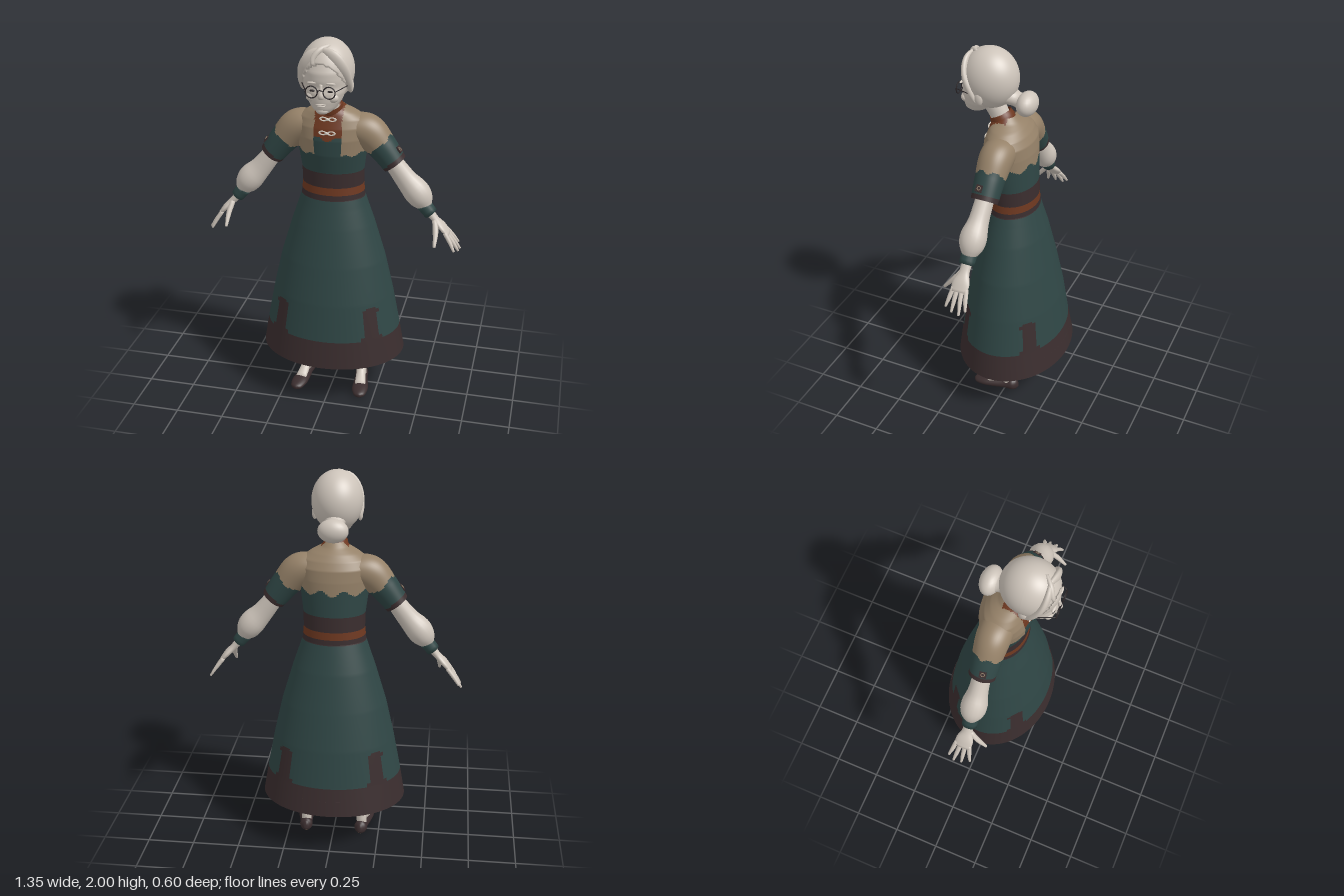
import * as THREE from 'three';

const paint = (name, color, side = THREE.FrontSide) => {
  const m = new THREE.MeshStandardMaterial({ color, side });
  m.name = name;
  return m;
};

export function createModel() {
  const root = new THREE.Group();
  const pale = paint('pale skin, hair and linen', 0xcdc4ba);
  const teal = paint('dark teal cloth', 0x2f4645, THREE.DoubleSide);
  const dark = paint('dark brown trim', 0x3a2d2e, THREE.DoubleSide);
  const rust = paint('rust leather', 0x6e3820, THREE.DoubleSide);
  const tan = paint('tan cloth', 0x958168);
  const ink = paint('glasses and eyes', 0x2a2527);
  const ivory = paint('ivory clasp', 0xded6ca);
  const V = (x, y, z) => new THREE.Vector3(x, y, z);

  const add = (name, geo, mat, x = 0, y = 0, z = 0, parent = root) => {
    const m = new THREE.Mesh(geo, mat);
    m.name = name;
    m.position.set(x, y, z);
    parent.add(m);
    return m;
  };
  const ball = (name, mat, [x, y, z], [sx, sy, sz]) =>
    add(name, new THREE.SphereGeometry(1, 24, 16).scale(sx, sy, sz), mat, x, y, z);

  // Skin rings of points; pick(point) chooses the material of each face
  function skin(name, rows, mats, pick = () => 0) {
    const n = rows[0].length, flat = rows.flat();
    const lists = mats.map(() => []);
    for (let r = 0; r < rows.length - 1; r++) {
      for (let i = 0; i < n; i++) {
        const a = r * n + i, d = r * n + (i + 1) % n, b = a + n, c = d + n;
        const mid = V(0, 0, 0);
        [a, b, c, d].forEach(k => mid.addScaledVector(flat[k], 0.25));
        lists[pick(mid)].push(a, b, c, a, c, d);
      }
    }
    const g = new THREE.BufferGeometry().setFromPoints(flat);
    g.setIndex(lists.flat());
    let start = 0;
    lists.forEach((l, k) => { g.addGroup(start, l.length, k); start += l.length; });
    g.computeVertexNormals();
    return add(name, g, mats);
  }

  // Upright shell from keys [y, half width, front z, back z]
  function shell(name, keys, step, mats, pick, n = 96) {
    const rows = [], y0 = keys[0][0], y1 = keys[keys.length - 1][0];
    const count = Math.round((y1 - y0) / step);
    for (let r = 0; r <= count; r++) {
      const y = y0 + (y1 - y0) * r / count;
      let k = 0;
      while (k < keys.length - 2 && keys[k + 1][0] < y) k++;
      const t = (y - keys[k][0]) / (keys[k + 1][0] - keys[k][0]);
      const [, w, f, b] = keys[k].map((v, j) => v + (keys[k + 1][j] - v) * t);
      rows.push(Array.from({ length: n }, (_, i) => {
        const a = i / n * Math.PI * 2;
        return V(Math.cos(a) * w, y, (f + b) / 2 + Math.sin(a) * (f - b) / 2);
      }));
    }
    return skin(name, rows, mats, pick);
  }

  // Tapered limb from keys [x, y, z, radius along ref, radius across]
  function limb(name, keys, mats, { ref = V(0, 0, 1), n = 16, sub = 4, pick, cap = true } = {}) {
    const path = new THREE.CatmullRomCurve3(keys.map(k => V(k[0], k[1], k[2])), false, 'catmullrom');
    const size = new THREE.CatmullRomCurve3(keys.map(k => V(k[3], k[4], 0)), false, 'catmullrom');
    const count = (keys.length - 1) * sub, rows = [];
    for (let r = 0; r <= count; r++) {
      const p = path.getPoint(r / count), t = path.getTangent(r / count), s = size.getPoint(r / count);
      const a = ref.clone().addScaledVector(t, -ref.dot(t)).normalize(), b = a.clone().cross(t);
      rows.push(Array.from({ length: n }, (_, i) => {
        const q = i / n * Math.PI * 2;
        return p.clone().addScaledVector(a, Math.cos(q) * s.x).addScaledVector(b, Math.sin(q) * s.y);
      }));
    }
    if (cap) {
      rows.unshift(rows[0].map(() => path.getPoint(0)));
      rows.push(rows[0].map(() => path.getPoint(1)));
    }
    return skin(name, rows, Array.isArray(mats) ? mats : [mats], pick);
  }
  const flip = (keys, s) => keys.map(([x, ...rest]) => [x * s, ...rest]);

  // Skirt with dark hem and four upright tabs
  shell('skirt', [[.25, .386, .3, -.3], [.4, .36, .28, -.272], [.6, .322, .254, -.243],
    [.8, .277, .217, -.202], [1, .217, .175, -.158], [1.1, .183, .152, -.13], [1.16, .164, .139, -.113]],
  .01, [teal, dark], p => {
    const d = Math.abs(Math.abs(p.x) - .24 + (p.y - .5) * .08);
    return p.y < .4 || p.y > 1.15 || (d < .033 && p.y < .585 - (d > .024 ? .012 : 0)) || (d < .045 && p.y < .42) ? 1 : 0;
  });
  add('skirtLining', new THREE.CircleGeometry(1, 48).rotateX(Math.PI / 2).scale(.368, 1, .286), dark, 0, .33, 0);

  // Bodice: waistband, belt, yoke and neck panel
  shell('bodice', [[1.15, .166, .141, -.115], [1.22, .159, .135, -.11], [1.3, .161, .137, -.106],
    [1.4, .174, .158, -.103], [1.48, .186, .162, -.1], [1.54, .19, .152, -.092], [1.58, .17, .138, -.07],
    [1.61, .125, .13, -.045], [1.635, .075, .122, -.015], [1.66, .05, .1, .01]],
  .005, [teal, dark, rust, tan], ({ x, y, z }) => {
    const w = Math.abs(x);
    if (y < 1.3) return y > 1.18 && y < 1.218 ? 2 : 1;
    if (z > .03 && w < .07) return y > (w < .035 ? 1.475 + w * .6 : 1.5) ? 2 : 0;
    const edge = z > .03 ? 1.405 + .008 * Math.sin(w * 90) : 1.425 - .014 * Math.cos(x * 55);
    return y > edge ? 3 : 0;
  });
  limb('collar', [[0, 1.615, .068, .062, .066], [0, 1.638, .078, .062, .064], [0, 1.662, .09, .056, .058]],
    rust, { n: 32, cap: false });
  limb('neck', [[0, 1.6, .07, .05, .05], [0, 1.66, .095, .05, .048], [0, 1.74, .14, .055, .055]], pale);
  for (const [y, z] of [[1.59, .141], [1.525, .162]]) {
    for (const s of [1, -1]) {
      const loop = add('claspLoop', new THREE.TorusGeometry(.009, .003, 6, 16).scale(1.9, 1, 1), ivory, s * .022, y, z - .002);
      loop.rotation.y = s * .12;
    }
    ball('claspKnot', ivory, [0, y, z + .001], [.007, .007, .005]);
  }

  for (const s of [1, -1]) {
    // Short sleeve with trimmed edge
    limb('shortSleeve', flip([[.1, 1.53, .03, .085, .07], [.18, 1.505, .03, .085, .088],
      [.25, 1.435, .03, .076, .076], [.32, 1.345, .03, .068, .064]], s), [teal, dark, tan], {
      n: 48, sub: 14, cap: false, pick: p => {
        const d = Math.abs(p.x) * .65 - p.y * .76;
        return d > -.836 ? 1 : d < -.945 + .007 * Math.sin(p.z * 90) ? 2 : 0;
      } });
    const badge = add('sleeveBadge', new THREE.BoxGeometry(.035, .035, .008), dark, s * .343, 1.428, .045);
    badge.lookAt(s * 1.093, 2.078, .15);
    add('badgeRing', new THREE.TorusGeometry(.009, .002, 6, 12), tan, 0, 0, .004, badge);

    // Puffed undersleeve, cuff and hand
    limb('undersleeve', flip([[.29, 1.38, .03, .045, .045], [.375, 1.27, .033, .05, .055],
      [.43, 1.21, .035, .066, .067], [.463, 1.165, .035, .06, .06], [.488, 1.125, .037, .033, .033]], s), pale, { n: 20 });
    limb('wristCuff', flip([[.472, 1.142, .037, .041, .039], [.513, 1.092, .038, .039, .035]], s), teal);
    limb('palm', flip([[.505, 1.1, .037, .026, .022], [.54, 1.06, .038, .028, .018],
      [.575, 1.025, .038, .045, .017], [.607, .988, .037, .043, .011]], s), pale);
    [[.002, .655, .92, -.02], [.026, .668, .897, .01], [.049, .663, .902, .052], [.07, .645, .912, .092]].forEach(([z, x, y, tz]) =>
      limb('finger', flip([[.592, 1.003, z, .012, .011], [(.6 + x) / 2, (.99 + y) / 2 + .004, (z + tz) / 2, .011, .01],
        [x, y, tz, .006, .006]], s), pale, { n: 10 }));
    limb('thumb', flip([[.537, 1.06, .055, .014, .013], [.548, 1.01, .095, .014, .012],
      [.55, .952, .143, .007, .007]], s), pale, { n: 10, ref: V(1, 0, 0) });

    // Leg, stocking and shoe
    limb('leg', flip([[.148, .36, -.008, .036, .036], [.148, .25, -.008, .034, .034], [.152, .13, -.012, .026, .025],
      [.154, .08, -.01, .03, .027], [.156, .04, -.01, .03, .027]], s), [pale, tan],
    { sub: 10, pick: p => p.y > .275 ? 1 : 0 });
    limb('instep', flip([[.154, .1, -.01, .024, .022], [.16, .065, .035, .026, .022], [.168, .04, .095, .03, .014]], s),
      pale, { ref: V(1, 0, 0) });
    const shoe = limb('shoe', flip([[.15, .042, -.07, .012, .02], [.152, .035, -.045, .034, .036], [.157, .03, 0, .034, .028],
      [.166, .026, .07, .041, .026], [.172, .024, .12, .043, .023], [.178, .02, .165, .03, .017], [.18, .018, .18, .008, .008]], s),
    [dark, tan], { ref: V(1, 0, 0), n: 24, pick: p => p.y < .008 ? 1 : 0 });
    const pos = shoe.geometry.attributes.position;
    for (let i = 0; i < pos.count; i++) pos.setY(i, Math.max(0, pos.getY(i)));

    // Face details that come in pairs
    ball('ear', pale, [s * .117, 1.775, .15], [.014, .035, .022]);
    ball('eye', ink, [s * .043, 1.776, .272], [.015, .005, .005]);
    ball('brow', pale, [s * .043, 1.815, .272], [.026, .006, .008]);
    ball('cheek', pale, [s * .05, 1.74, .252], [.03, .024, .022]);
    add('glassesRim', new THREE.TorusGeometry(.029, .003, 6, 28), ink, s * .043, 1.776, .292);
    limb('glassesArm', flip([[.072, 1.783, .291, .0025, .0025], [.112, 1.79, .2, .0025, .0025],
      [.12, 1.79, .15, .0025, .0025]], s), ink, { ref: V(0, 1, 0), n: 6 });

    // Hair swept from the parting to the temples
    limb('sweptLock', flip([[-.008, 1.968, .228, .01, .012], [.05, 1.938, .24, .016, .03], [.092, 1.88, .23, .018, .03],
      [.112, 1.81, .195, .018, .022], [.117, 1.755, .165, .008, .01]], s), pale);
  }

  // Face and nose
  shell('face', [[1.655, .022, .25, .2], [1.665, .042, .265, .17], [1.685, .062, .275, .14], [1.72, .086, .281, .11],
    [1.76, .1, .283, .1], [1.79, .105, .275, .09], [1.82, .108, .281, .08], [1.86, .108, .281, .08], [1.91, .1, .262, .08]],
  .008, [pale], () => 0, 40);
  ball('chin', pale, [0, 1.674, .25], [.032, .02, .024]);
  limb('nose', [[0, 1.81, .276, .008, .008], [0, 1.78, .283, .009, .01], [0, 1.755, .287, .013, .015],
    [0, 1.743, .28, .01, .014]], pale);
  ball('upperLip', pale, [0, 1.712, .28], [.026, .004, .006]);
  ball('lowerLip', pale, [0, 1.703, .279], [.02, .005, .006]);
  limb('glassesBridge', [[-.015, 1.782, .294, .0025, .0025], [0, 1.787, .296, .0025, .0025],
    [.015, 1.782, .294, .0025, .0025]], ink, { n: 6 });

  // Hair cap drawn back below the hairline
  const cap = new THREE.SphereGeometry(1, 64, 48).scale(.131, .155, .145).translate(0, 1.845, .14);
  const hp = cap.attributes.position;
  for (let i = 0; i < hp.count; i++) {
    const x = hp.getX(i), y = hp.getY(i), z = hp.getZ(i);
    if (z > .14 && y < 1.9 - 9 * x * x) hp.setZ(i, .14 + (z - .14) * .25);
  }
  cap.computeVertexNormals();
  add('hairCap', cap, pale);
  limb('frontCurl', [[.025, 1.978, .2, .008, .01], [-.015, 1.965, .238, .012, .014], [-.042, 1.93, .258, .011, .013],
    [-.045, 1.9, .268, .006, .008]], pale);

  // Bun and its gathered root
  ball('bun', pale, [0, 1.74, -.055], [.078, .06, .052]);
  limb('bunRoot', [[0, 1.77, .05, .06, .05], [0, 1.752, -.005, .045, .035], [0, 1.742, -.05, .07, .05]],
    pale, { ref: V(1, 0, 0), n: 24 });

  return root;
}
